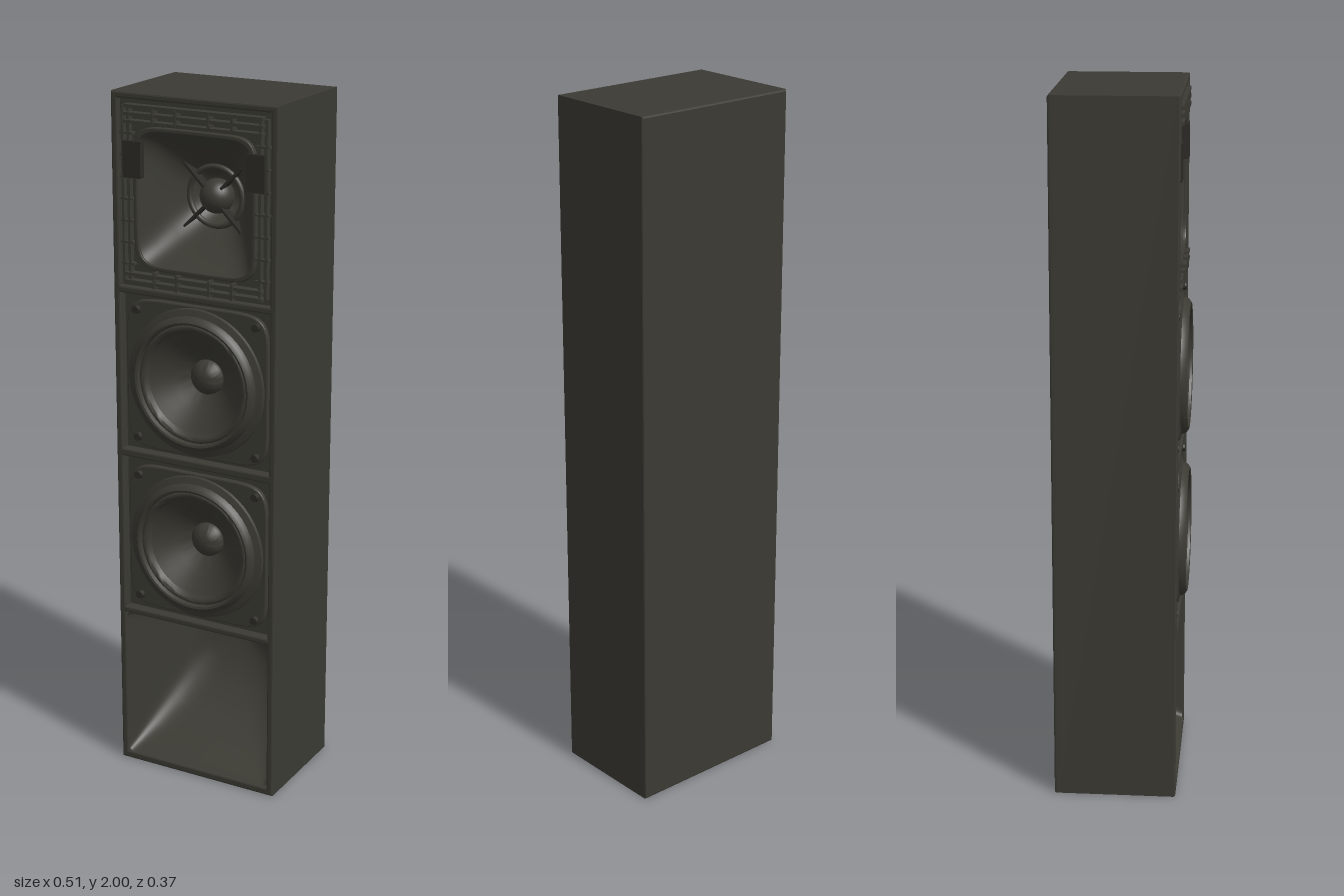
import * as THREE from 'three';
import { toCreasedNormals } from 'three/addons/utils/BufferGeometryUtils.js';

const body = new THREE.MeshStandardMaterial({ color: 0x3b3a33 });
body.name = 'charcoal olive';
const dark = new THREE.MeshStandardMaterial({ color: 0x2c2b26 });
dark.name = 'dark charcoal';

const HALF_W = 0.253, INNER = 0.233;
const BAYS = { port: [0.022, 0.478], low: [0.497, 0.965], mid: [0.988, 1.445], horn: [1.465, 1.982] };

function add(parent, name, geometry, material, x = 0, y = 0, z = 0) {
  const mesh = new THREE.Mesh(geometry, material);
  mesh.name = name;
  mesh.position.set(x, y, z);
  parent.add(mesh);
  return mesh;
}

// Rectangle outline as points, counter-clockwise
function rect(x0, y0, x1, y1) {
  return [[x0, y0], [x1, y0], [x1, y1], [x0, y1]].map(p => new THREE.Vector2(...p));
}

// Rounded-square outline; a higher power gives squarer corners
function superEllipse(cx, cy, w, h, power, count = 56) {
  return Array.from({ length: count }, (_, i) => {
    const a = (i / count) * Math.PI * 2, c = Math.cos(a), s = Math.sin(a);
    return new THREE.Vector2(
      cx + w * Math.sign(c) * Math.abs(c) ** (2 / power),
      cy + h * Math.sign(s) * Math.abs(s) ** (2 / power));
  });
}

// Plate between two depths, with optional holes and bevel
function plate(outline, holes, z0, z1, bevel = 0) {
  const shape = new THREE.Shape(outline);
  holes.forEach(h => shape.holes.push(new THREE.Path(h)));
  const g = new THREE.ExtrudeGeometry(shape, {
    depth: z1 - z0 - bevel * 2, bevelEnabled: bevel > 0, bevelThickness: bevel,
    bevelSize: bevel, bevelOffset: -bevel, bevelSegments: 2, curveSegments: 32,
  });
  return g.translate(0, 0, z0 + bevel);
}

// Funnel through sections [z, cx, cy, halfWidth, halfHeight, power], front to back
function funnel(sections) {
  const pos = [], index = [], n = 56;
  sections.forEach(([z, ...s]) => superEllipse(...s, n).forEach(p => pos.push(p.x, p.y, z)));
  for (let k = 0; k < sections.length - 1; k++) {
    for (let i = 0; i < n; i++) {
      const a = k * n + i, b = k * n + (i + 1) % n;
      index.push(a, b, a + n, b, b + n, a + n);
    }
  }
  const g = new THREE.BufferGeometry();
  g.setAttribute('position', new THREE.Float32BufferAttribute(pos, 3));
  g.setIndex(index);
  g.computeVertexNormals();
  return g;
}

// Turned part facing the front, from [radius, z] points
function turned(points, crease = 0.6) {
  const g = new THREE.LatheGeometry(points.map(p => new THREE.Vector2(...p)), 48);
  return toCreasedNormals(g.rotateX(Math.PI / 2), crease);
}

function bayRect([y0, y1]) {
  return rect(-INNER, y0, INNER, y1);
}

// Woofer with square chassis, raised rim, surround, cone and dust cap
function makeWoofer(name, bay, cy) {
  const group = new THREE.Group();
  group.name = name;
  const hole = superEllipse(0, cy, 0.19, 0.19, 2);
  add(group, 'baffle', plate(bayRect(bay), [hole], 0.10, 0.135), body);
  const chassis = superEllipse(0, cy, 0.222, 0.218, 7);
  add(group, 'chassisPlate', plate(chassis, [hole], 0.13, 0.150, 0.004), body);
  add(group, 'rim', turned([
    [0.214, 0.145], [0.211, 0.158], [0.193, 0.164], [0.188, 0.176], [0.178, 0.183],
    [0.172, 0.181], [0.169, 0.168]]), body, 0, cy);
  add(group, 'surround', turned([
    [0.172, 0.164], [0.167, 0.172], [0.160, 0.174], [0.153, 0.170], [0.147, 0.156]], 1), body, 0, cy);
  add(group, 'cone', turned([
    [0.149, 0.157], [0.125, 0.139], [0.09, 0.112], [0.06, 0.090], [0.04, 0.078]], 1), body, 0, cy);
  add(group, 'dustCap', turned([
    [0.05, 0.083], [0.048, 0.096], [0.038, 0.109], [0.022, 0.118], [0, 0.121]], 1), body, 0, cy);
  // Corner bolts
  for (const sx of [-1, 1]) for (const sy of [-1, 1]) {
    const bolt = new THREE.CylinderGeometry(0.011, 0.013, 0.014, 12).rotateX(Math.PI / 2);
    add(group, 'bolt', bolt, dark, sx * 0.187, cy + sy * 0.186, 0.155);
  }
  return group;
}

// High-frequency horn with ribbed surround
function makeHorn() {
  const group = new THREE.Group();
  group.name = 'horn';
  const cy = 1.715;
  const mouth = superEllipse(0, cy, 0.175, 0.185, 7);
  add(group, 'hornBaffle', plate(bayRect(BAYS.horn), [mouth], 0.12, 0.145), body);
  add(group, 'mouthLip', plate(superEllipse(0, cy, 0.187, 0.197, 7), [mouth], 0.14, 0.16, 0.003), body);
  add(group, 'flare', funnel([
    [0.152, 0, cy, 0.175, 0.185, 7],
    [0.115, 0, cy, 0.150, 0.160, 6],
    [0.075, 0, cy, 0.118, 0.125, 4],
    [0.035, 0, cy, 0.085, 0.088, 3],
    [-0.01, 0, cy, 0.062, 0.062, 2],
    [-0.05, 0, cy, 0.050, 0.050, 2],
    [-0.05, 0, cy, 0.001, 0.001, 2]]), body);
  add(group, 'throatRing', new THREE.TorusGeometry(0.082, 0.008, 10, 40), body, 0, cy, 0.037);
  add(group, 'phasePlug', new THREE.SphereGeometry(0.048, 28, 18), body, 0, cy, 0.03);
  // Vanes that hold the plug
  for (const a of [0.25, 0.75, 1.25, 1.75]) {
    const vane = add(group, 'vane', new THREE.BoxGeometry(0.1, 0.007, 0.03), dark,
      0.075 * Math.cos(a * Math.PI), cy + 0.075 * Math.sin(a * Math.PI), 0.045);
    vane.rotation.z = a * Math.PI;
  }
  // Horizontal ribs above and below the mouth
  for (const y of [1.482, 1.503, 1.922, 1.943, 1.964]) {
    add(group, 'crossRib', new THREE.BoxGeometry(0.42, 0.009, 0.03), body, 0, y, 0.154);
  }
  // Vertical ribs and side brackets
  for (const s of [-1, 1]) {
    for (const x of [0.2, 0.219]) {
      add(group, 'sideRib', new THREE.BoxGeometry(0.007, 0.48, 0.024), body, s * x, 1.723, 0.15);
    }
    add(group, 'sideBracket', new THREE.BoxGeometry(0.055, 0.1, 0.02), dark, s * 0.188, 1.82, 0.156);
    for (const x of [0.05, 0.12]) for (const y of [1.493, 1.943]) {
      add(group, 'shortRib', new THREE.BoxGeometry(0.007, 0.045, 0.03), body, s * x, y, 0.156);
    }
    for (let i = 0; i < 7; i++) {
      add(group, 'rung', new THREE.BoxGeometry(0.04, 0.006, 0.02), body, s * 0.207, 1.53 + i * 0.06, 0.152);
    }
  }
  return group;
}

export function createModel() {
  const model = new THREE.Group();
  model.name = 'columnSpeaker';

  // Cabinet walls with four bays, closed by a back panel
  const outline = rect(-HALF_W, 0, HALF_W, 2);
  add(model, 'cabinet', plate(outline, Object.values(BAYS).map(bayRect), -0.178, 0.163, 0.005), body);
  add(model, 'backPanel', plate(outline, [], -0.185, -0.155, 0.005), body);

  model.add(makeWoofer('lowerWoofer', BAYS.low, 0.728));
  model.add(makeWoofer('upperWoofer', BAYS.mid, 1.215));
  model.add(makeHorn());

  // Scooped port that narrows upward toward the back
  add(model, 'port', funnel([
    [0.158, 0, 0.25, 0.233, 0.228, 30],
    [0.12, 0, 0.255, 0.228, 0.219, 20],
    [0.06, 0, 0.268, 0.212, 0.198, 10],
    [-0.01, 0, 0.29, 0.185, 0.168, 6],
    [-0.07, 0, 0.315, 0.150, 0.130, 4],
    [-0.115, 0, 0.34, 0.100, 0.085, 3],
    [-0.135, 0, 0.35, 0.001, 0.001, 2]]), body);
  return model;
}
